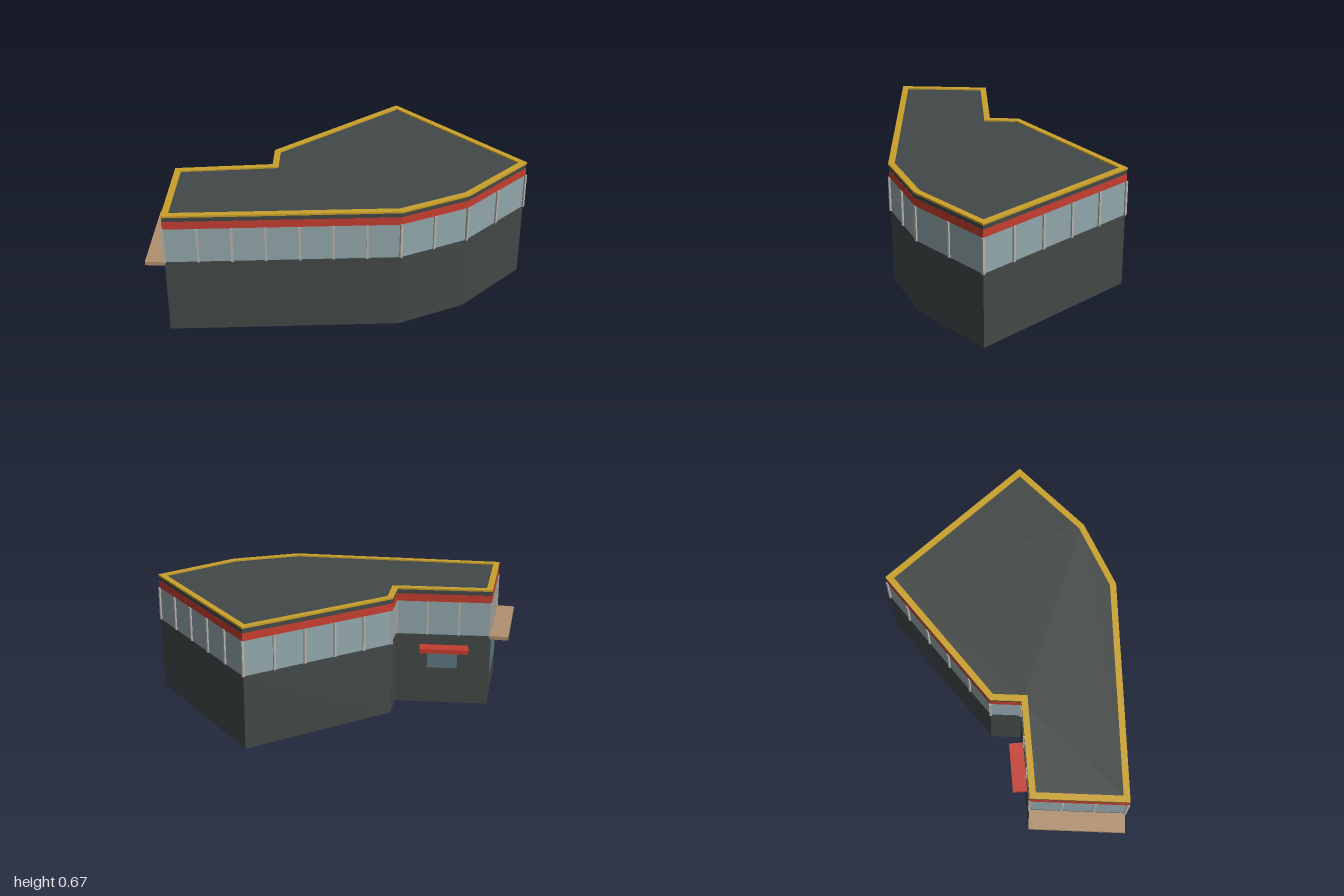
import * as THREE from 'three';

const mat = (name, color) => {
  const m = new THREE.MeshStandardMaterial({ color });
  m.name = name;
  return m;
};

export function createModel() {
  const charcoal = mat('charcoal', 0x424847);
  const glass = mat('glass', 0x92a6ab);
  const darkGlass = mat('dark glass', 0x5f7780);
  const red = mat('red', 0xc43d2f);
  const gold = mat('gold', 0xc9a02a);
  const metal = mat('metal', 0xb3b1ab);
  const wood = mat('wood', 0xb08f6d);
  const group = new THREE.Group();

  // Footprint corners (x, z), starting at the front and running round the building
  const plan = [
    [-0.9, 0.591], [0.28, 0.607], [0.633, 0.459], [0.988, 0.13],
    [0.369, -0.611], [-0.337, -0.083], [-0.35, 0.08], [-0.86, 0.097],
  ].map(([x, z]) => new THREE.Vector2(x, -z));
  const bays = [7, 2, 2, 5, 5, 1, 3, 3];
  const n = plan.length;

  // Footprint moved outward (or inward when negative) with mitred corners
  const offset = (d) => plan.map((p, i) => {
    const normal = (a, b) => new THREE.Vector2(b.y - a.y, a.x - b.x).normalize();
    const n1 = normal(plan[(i + n - 1) % n], p);
    const n2 = normal(p, plan[(i + 1) % n]);
    const m = n1.clone().add(n2);
    return p.clone().addScaledVector(m, d / (1 + n1.dot(n2)));
  });

  // Horizontal storey of the building between two heights
  const layer = (name, material, y0, y1, out = 0, hole = null) => {
    const shape = new THREE.Shape(offset(out));
    if (hole !== null) shape.holes.push(new THREE.Path(offset(hole).reverse()));
    const geo = new THREE.ExtrudeGeometry(shape, { depth: y1 - y0, bevelEnabled: false });
    geo.rotateX(-Math.PI / 2).translate(0, y0, 0);
    const mesh = new THREE.Mesh(geo, material);
    mesh.name = name;
    group.add(mesh);
  };
  layer('lowerWalls', charcoal, 0, 0.405);
  layer('windowBand', glass, 0.405, 0.597, -0.003);
  layer('redFascia', red, 0.597, 0.639, 0.001);
  layer('roof', charcoal, 0.639, 0.665);
  layer('roofTrim', gold, 0.663, 0.673, 0.003, -0.03);

  // Box fixed to a wall: t runs along the wall, out is the distance of its centre from it
  const onWall = (name, material, wall, t, y, out, size) => {
    const a = plan[wall], b = plan[(wall + 1) % n];
    const p = a.clone().lerp(b, t);
    const angle = Math.atan2(b.y - a.y, b.x - a.x);
    const mesh = new THREE.Mesh(new THREE.BoxGeometry(...size), material);
    mesh.position.set(p.x + Math.sin(angle) * out, y, -p.y + Math.cos(angle) * out);
    mesh.rotation.y = angle;
    mesh.name = name;
    group.add(mesh);
  };

  // Window posts
  bays.forEach((count, wall) => {
    for (let k = 0; k < count; k++) {
      onWall('windowPost', metal, wall, k / count, 0.501, 0, [0.013, 0.192, 0.013]);
    }
  });

  // Serving window with its red awning on the back wall
  onWall('backWindow', darkGlass, 6, 0.5, 0.265, 0.001, [0.165, 0.11, 0.006]);
  onWall('awning', red, 6, 0.515, 0.334, 0.037, [0.265, 0.024, 0.076]);

  // Large window and wooden canopy on the end wall
  onWall('endWindow', darkGlass, 7, 0.52, 0.262, 0.001, [0.31, 0.215, 0.006]);
  onWall('woodCanopy', wood, 7, 0.5, 0.398, 0.05, [0.497, 0.02, 0.1]);

  return group;
}
